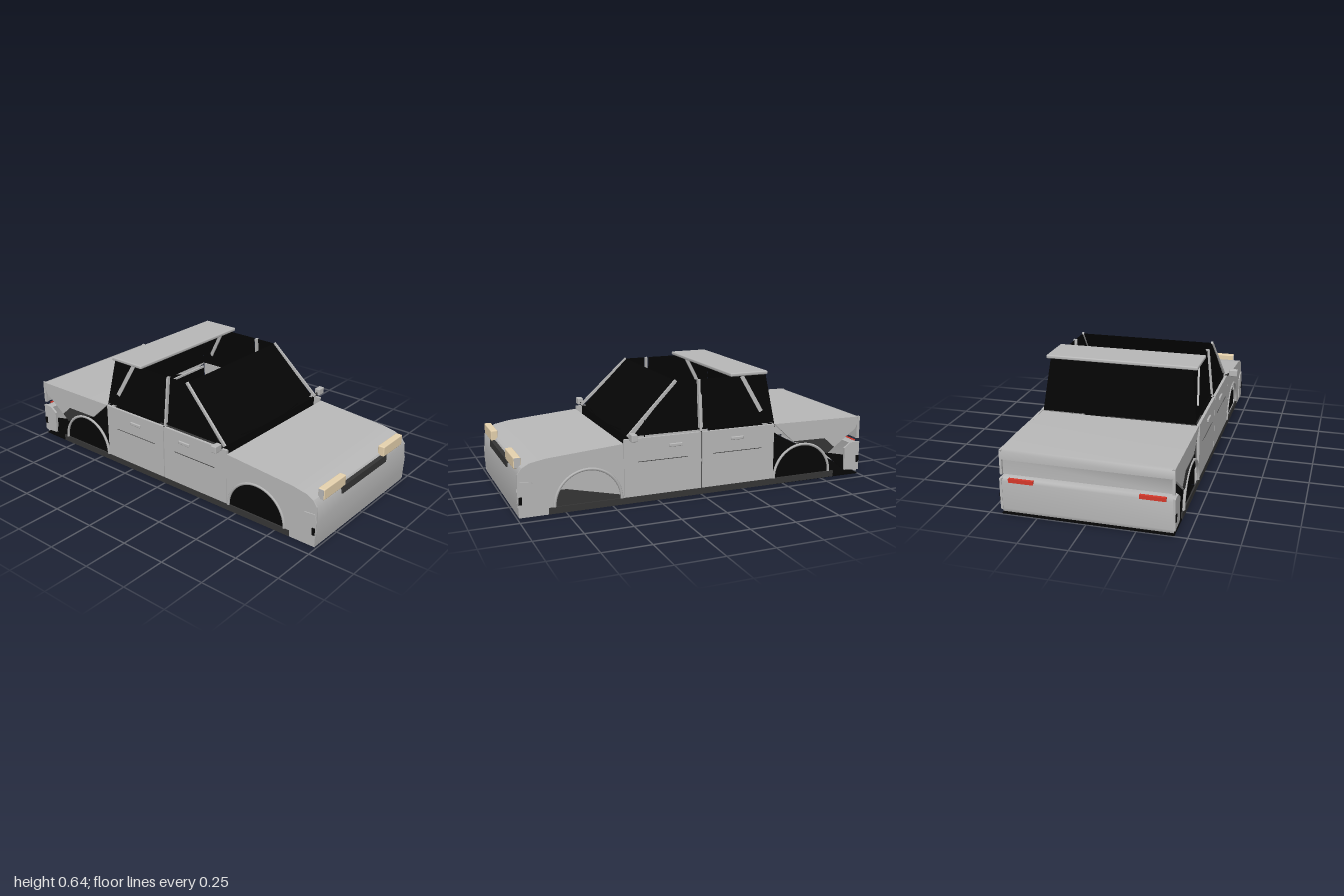
import * as THREE from 'three';
import { RoundedBoxGeometry } from 'three/addons/geometries/RoundedBoxGeometry.js';

const mat = (name, color) => {
  const m = new THREE.MeshStandardMaterial({ color, side: THREE.DoubleSide });
  m.name = name;
  return m;
};

export function createModel() {
  const car = new THREE.Group();
  car.name = 'car';
  const body = mat('body grey', 0xb8b8b8);
  const black = mat('glass black', 0x050505);
  const dark = mat('trim dark grey', 0x363636);
  const lamp = mat('headlight cream', 0xe6d2ae);
  const red = mat('tail light red', 0xd6382a);

  const add = (name, geometry, material) => {
    const m = new THREE.Mesh(geometry, material);
    m.name = name;
    car.add(m);
    return m;
  };
  // Box given by its ranges, with optional rounding
  const box = (name, material, x0, x1, y0, y1, z0, z1, r = 0) => {
    const size = [x1 - x0, y1 - y0, z1 - z0];
    const m = add(name, r ? new RoundedBoxGeometry(...size, 2, r) : new THREE.BoxGeometry(...size), material);
    m.position.set((x0 + x1) / 2, (y0 + y1) / 2, (z0 + z1) / 2);
  };
  // Box on both sides of the car
  const boxes = (name, material, x0, x1, ...r) => {
    box(name + 'Left', material, x0, x1, ...r);
    box(name + 'Right', material, -x1, -x0, ...r);
  };
  // Side outline in (z, y), extruded inwards from x on both sides
  const sides = (name, material, shape, x, depth, rightMaterial = material) => {
    const s = Array.isArray(shape) ? new THREE.Shape(shape.map(p => new THREE.Vector2(...p))) : shape;
    for (const side of [1, -1]) {
      const g = new THREE.ExtrudeGeometry(s, { depth, bevelEnabled: false, curveSegments: 20 });
      g.rotateY(-Math.PI / 2).translate(side > 0 ? x : -x + depth, 0, 0);
      add(name + (side > 0 ? 'Left' : 'Right'), g, side > 0 ? material : rightMaterial);
    }
  };
  // Sheet following a (z, y) profile across the car
  const sheet = (name, material, profile, half) => {
    const g = new THREE.PlaneGeometry(1, 1, 1, profile.length - 1);
    const p = g.attributes.position;
    for (let i = 0; i < p.count; i++) {
      const [z, y] = profile[i >> 1];
      p.setXYZ(i, i % 2 ? half : -half, y, z);
    }
    g.computeVertexNormals();
    add(name, g, material);
  };
  // Flat panel through a loop of 3D corners
  const panel = (name, material, pts) => {
    const g = new THREE.BufferGeometry();
    const v = [];
    for (let i = 1; i < pts.length - 1; i++) v.push(...pts[0], ...pts[i], ...pts[i + 1]);
    g.setAttribute('position', new THREE.Float32BufferAttribute(v, 3));
    g.computeVertexNormals();
    add(name, g, material);
  };
  // Bar between two points
  const bar = (name, material, a, b, w, h = w) => {
    const from = new THREE.Vector3(...a), to = new THREE.Vector3(...b);
    const m = add(name, new THREE.BoxGeometry(w, h, from.distanceTo(to)), material);
    m.position.copy(from).add(to).multiplyScalar(0.5);
    m.lookAt(to);
  };

  // Bonnet and nose in curved sheets
  const hood = [[0.44, 0.335], [0.54, 0.327], [0.85, 0.302], [0.93, 0.287], [0.97, 0.265]];
  sheet('bonnet', body, hood, 0.43);
  sheet('nose', body, [[0.97, 0.265], [0.992, 0.235], [0.998, 0.15], [0.998, 0.08], [0.99, 0.01]], 0.43);

  // Front fenders with an open wheel arch
  const fender = new THREE.Shape();
  fender.moveTo(0.99, 0.01);
  fender.lineTo(0.83, 0.01);
  fender.lineTo(0.808, 0.045);
  fender.absarc(0.63, 0.045, 0.178, 0, Math.PI, false);
  fender.lineTo(0.44, 0.045);
  for (const p of hood) fender.lineTo(...p);
  fender.lineTo(0.992, 0.235);
  fender.lineTo(0.998, 0.1);
  sides('frontFender', body, fender, 0.437, 0.012);

  // Rear fenders, cut away below
  sides('rearFender', body, [[-0.44, 0.355], [-0.56, 0.245], [-0.62, 0.23], [-0.7, 0.24], [-0.785, 0.15],
    [-0.97, 0.28], [-1, 0.348]], 0.435, 0.012);
  sides('rearFenderShade', dark, [[-0.555, 0.245], [-0.62, 0.226], [-0.71, 0.2], [-0.785, 0.15], [-0.83, 0.185], [-0.765, 0.242]], 0.437, 0.004);
  sides('rearBrace', black, [[-0.78, 0.15], [-0.92, 0.12], [-0.92, 0.06], [-1, 0.01], [-0.92, 0.03]], 0.41, 0.006);

  // Wheel arch linings and rims
  const half = (z, r) => {
    const s = new THREE.Shape();
    s.absarc(z, 0.045, r, 0, Math.PI, false);
    return s;
  };
  sides('frontArchLining', body, half(0.63, 0.182), 0.415, 0.006, black);
  sides('frontArchShade', dark, [[0.80, 0.125], [0.74, 0.125], [0.455, 0.06], [0.455, 0.03], [0.81, 0.03]], 0.42, 0.004, black);
  sides('rearArchLining', black, half(-0.62, 0.178), 0.415, 0.006);
  for (const x of [0.436, -0.436]) for (const z of [0.63, -0.62]) {
    const rim = add('archRim', new THREE.TorusGeometry(0.178, 0.008, 6, 28, Math.PI), body);
    rim.rotation.y = Math.PI / 2;
    rim.position.set(x, 0.045, z);
  }

  // Doors with handles and crease lines
  for (const [name, z0, z1, h, c0, c1] of [['frontDoor', 0.003, 0.438, 0.115, 0.08, 0.36],
    ['rearDoor', -0.436, -0.003, -0.245, -0.36, -0.065]]) {
    boxes(name, body, 0.422, 0.437, 0.045, 0.355, z0, z1);
    boxes(name + 'Handle', body, 0.437, 0.448, 0.294, 0.312, h, h + 0.075, 0.004);
    boxes(name + 'Crease', dark, 0.435, 0.438, 0.2285, 0.2315, c0, c1);
  }
  boxes('doorGap', black, 0.422, 0.43, 0.045, 0.355, -0.004, 0.004);
  boxes('sill', dark, 0.43, 0.438, 0.01, 0.045, -0.83, 0.84);
  boxes('innerSill', body, 0.415, 0.429, 0.014, 0.1, -0.44, 0.40);

  // Boot lid with its upright rear face, and rear bumper
  sheet('bootLid', body, [[-0.45, 0.352], [-0.75, 0.354], [-0.98, 0.35], [-0.998, 0.345], [-0.998, 0.30]], 0.435);
  sheet('bootFace', body, [[-0.998, 0.30], [-0.985, 0.295], [-0.985, 0.22]], 0.43);
  boxes('bootCorner', body, 0.424, 0.436, 0.22, 0.35, -0.998, -0.98);
  sheet('rearBumper', body, [[-0.93, 0.2], [-0.985, 0.2], [-0.998, 0.185], [-0.998, 0.04], [-0.99, 0.02]], 0.432);
  sides('rearBumperEnd', body, [[-0.905, 0.04], [-0.9, 0.17], [-0.94, 0.2], [-0.985, 0.202], [-1, 0.2], [-1, 0.035]], 0.44, 0.012);
  sides('frontBumperEnd', body, [[0.905, 0.035], [0.9, 0.16], [0.925, 0.19], [0.985, 0.195], [0.998, 0.15], [0.992, 0.015]], 0.443, 0.008);
  boxes('frontMarker', black, 0.44, 0.446, 0.08, 0.12, 0.975, 0.992);
  boxes('rearMarker', black, 0.438, 0.444, 0.08, 0.12, -0.997, -0.98);
  boxes('tailLight', red, 0.265, 0.395, 0.182, 0.202, -1, -0.985);

  // Headlights with grey outer caps, and grille
  boxes('headlight', lamp, 0.188, 0.385, 0.25, 0.31, 0.96, 0.998, 0.006);
  boxes('headlightCap', body, 0.384, 0.387, 0.254, 0.306, 0.964, 0.994);
  box('grille', dark, -0.218, 0.218, 0.215, 0.256, 0.97, 1);

  // Underside, raised under the cabin
  box('frontFloor', body, -0.43, 0.43, 0.01, 0.016, 0.44, 0.99);
  box('cabinFloorPan', body, -0.415, 0.415, 0.076, 0.08, -0.45, 0.40);
  box('cabinFloor', dark, -0.415, 0.415, 0.08, 0.084, -0.45, 0.40);
  box('cabinFloorEdge', black, 0.27, 0.415, 0.084, 0.088, -0.45, 0.40);
  box('firewall', black, -0.415, 0.415, 0.03, 0.355, 0.395, 0.405);
  box('engineBayWall', black, -0.415, 0.415, 0.016, 0.325, 0.442, 0.448);
  box('rearBulkhead', black, -0.415, 0.415, 0.014, 0.325, -0.445, -0.437);
  box('rearBulkheadRail', body, -0.415, 0.415, 0.325, 0.337, -0.445, -0.435);
  box('rearFloor', black, -0.435, 0.435, 0.008, 0.014, -0.995, -0.45);

  // Glass
  panel('windscreen', black, [[-0.407, 0.365, 0.39], [0.407, 0.365, 0.39], [0.384, 0.63, 0.13], [-0.384, 0.63, 0.13]]);
  panel('rearWindow', black, [[0.42, 0.355, -0.445], [-0.42, 0.355, -0.445], [-0.386, 0.635, -0.4], [0.386, 0.635, -0.4]]);
  box('cowl', black, -0.385, 0.385, 0.355, 0.363, 0.385, 0.415);
  for (const s of [1, -1]) {
    const at = (z, y, out = 0) => [s * (0.415 - (y - 0.355) * 0.105 + out), y, z];
    panel('frontSideWindow', black, [at(0.375, 0.37), at(0.012, 0.37), at(0.012, 0.63), at(0.13, 0.63)]);
    panel('rearSideWindow', black, [at(-0.016, 0.37), at(-0.44, 0.36), at(-0.40, 0.63), at(-0.016, 0.63)]);
    // Pillars
    bar('windscreenPillar', body, at(0.41, 0.362), at(0.13, 0.632), 0.011, 0.016);
    bar('middlePillar', body, at(0, 0.355), at(0, 0.63), 0.012, 0.02);
    bar('rearPillar', body, at(-0.255, 0.628, 0.002), at(-0.365, 0.43, 0.002), 0.012, 0.022);
    bar('windowSill', black, at(0.38, 0.368), at(-0.44, 0.368), 0.008);
    // Mirrors
    bar('mirrorArm', dark, [s * 0.425, 0.35, 0.4], [s * 0.46, 0.37, 0.4], 0.012);
    const mx = s * 0.475;
    box('mirror', body, mx - 0.025, mx + 0.025, 0.354, 0.393, 0.385, 0.418, 0.005);
    // Wipers
    bar('wiper', black, [s * 0.1, 0.362, 0.415], [s * 0.26, 0.367, 0.395], 0.006);
  }

  // Roof panel over the rear seats
  box('roof', body, -0.412, 0.412, 0.632, 0.652, -0.402, -0.178, 0.007);

  return car;
}
